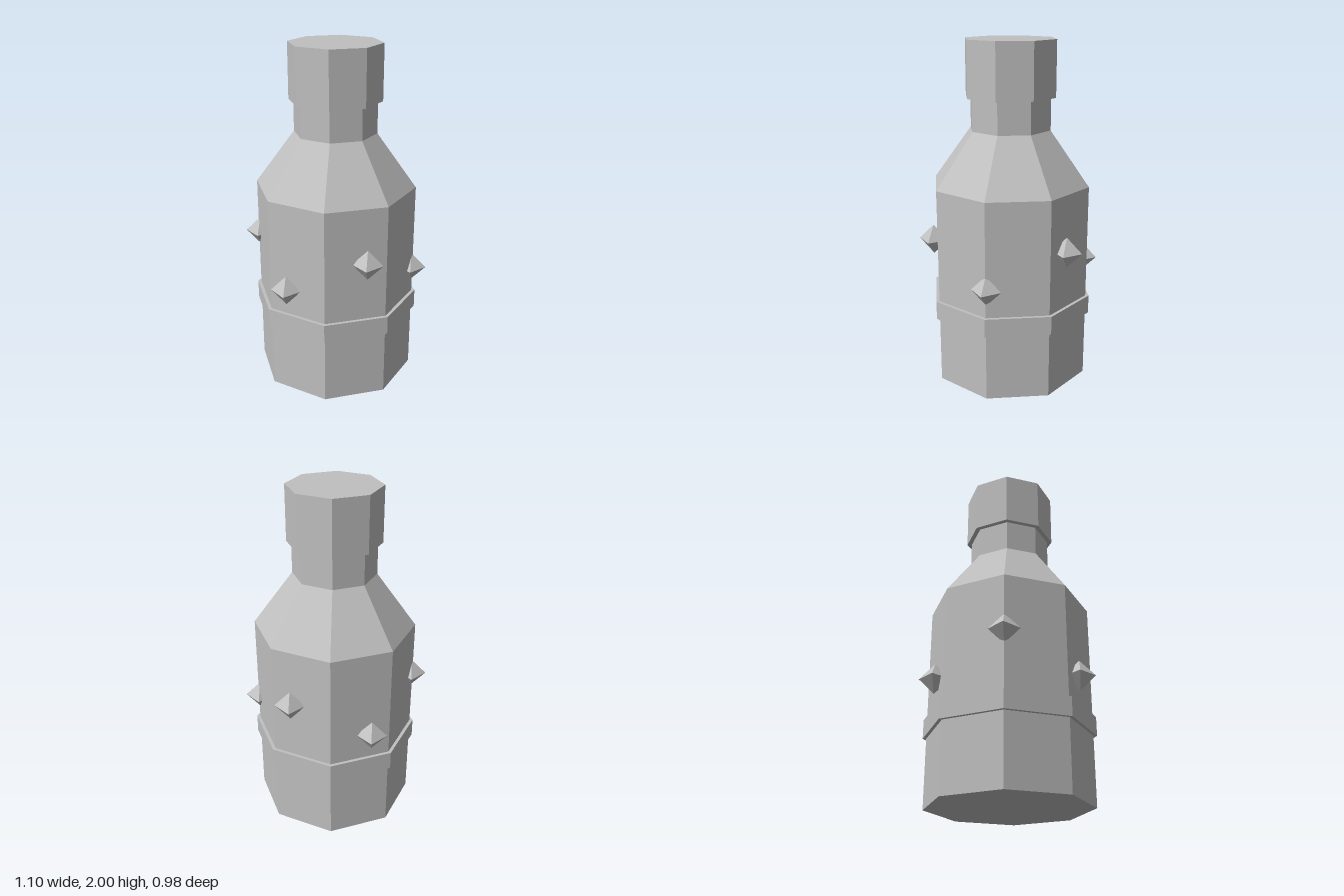
import * as THREE from 'three';

export function createModel() {
  const group = new THREE.Group();
  group.name = 'studdedBottle';
  const grey = new THREE.MeshStandardMaterial({ color: 0xc0c0c0 });
  grey.name = 'plain grey';
  grey.flatShading = true;

  const add = (name, geometry, x, y, z) => {
    const mesh = new THREE.Mesh(geometry, grey);
    mesh.name = name;
    mesh.position.set(x, y, z);
    group.add(mesh);
  };

  // Eight-sided bottle: base, wall, sloping shoulder and neck in one profile
  const profile = [[0, 0], [0.47, 0], [0.47, 1.18], [0.24, 1.495], [0.24, 1.68]];
  add('bottle', new THREE.LatheGeometry(profile.map(([r, y]) => new THREE.Vector2(r, y)), 8), 0, 0, 0);

  // Raised band and cap
  add('band', new THREE.CylinderGeometry(0.49, 0.49, 0.11, 8), 0, 0.455, 0);
  add('cap', new THREE.CylinderGeometry(0.268, 0.268, 0.32, 8), 0, 1.84, 0);

  // Six studs around the wall, alternating low and high
  const stud = new THREE.OctahedronGeometry(0.088);
  for (let i = 0; i < 6; i++) {
    const a = (i * Math.PI) / 3;
    add('stud' + (i + 1), stud, 0.46 * Math.cos(a), i % 2 ? 0.857 : 0.67, 0.46 * Math.sin(a));
  }
  return group;
}
